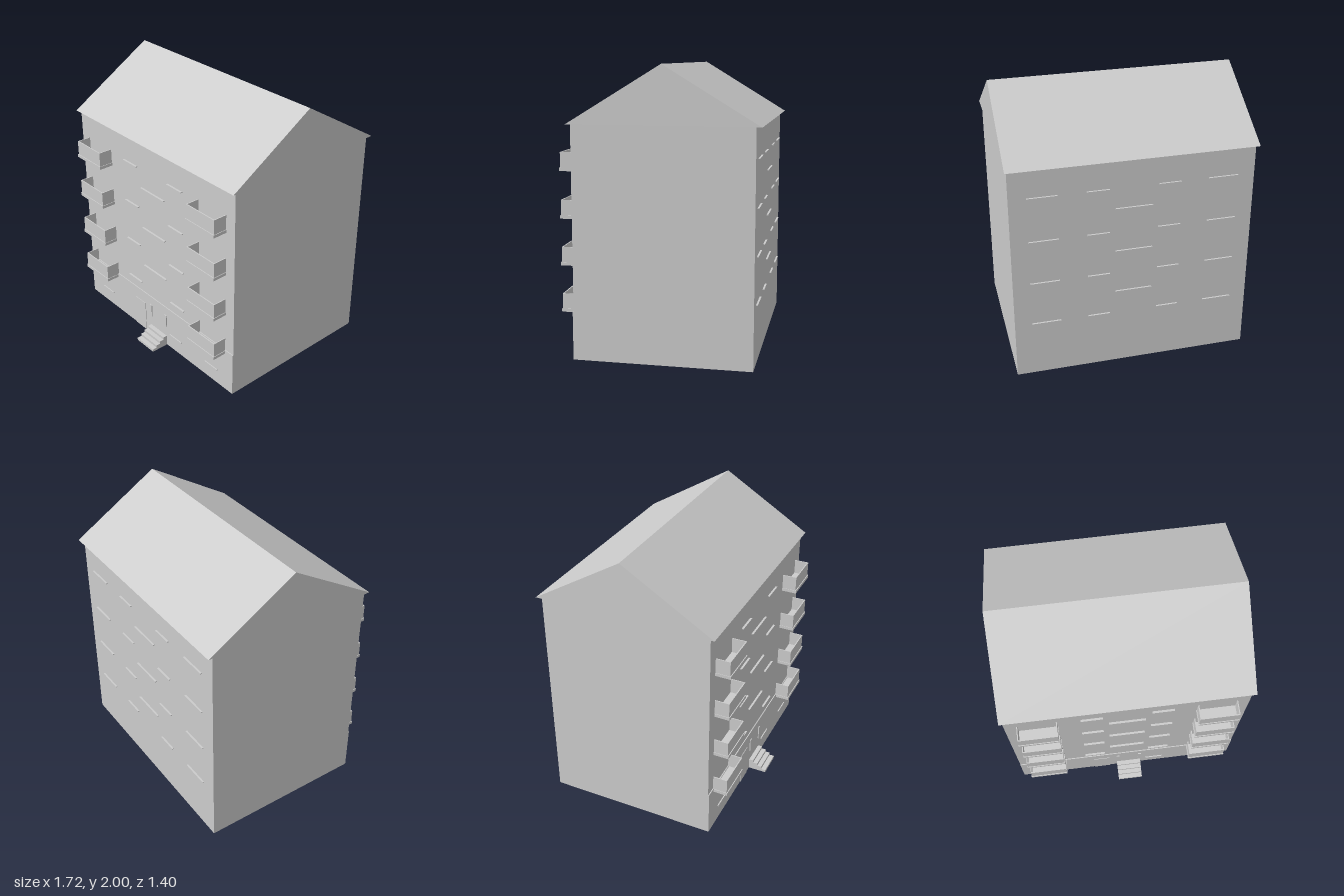
import * as THREE from 'three';

const WALL_FRONT = 0.563, WALL_BACK = -0.662, EAVES = 1.607;

export function createModel() {
  const house = new THREE.Group();
  house.name = 'apartmentHouse';
  const material = new THREE.MeshStandardMaterial({ color: 0xcccccc, flatShading: true });

  // Box given by its limits on each axis
  function box(name, x0, x1, y0, y1, z0, z1, parent = house) {
    const mesh = new THREE.Mesh(new THREE.BoxGeometry(x1 - x0, y1 - y0, z1 - z0), material);
    mesh.position.set((x0 + x1) / 2, (y0 + y1) / 2, (z0 + z1) / 2);
    mesh.name = name;
    parent.add(mesh);
    return mesh;
  }

  // Main block and slightly raised ground-floor facing
  box('walls', -0.845, 0.845, 0, EAVES, WALL_BACK, WALL_FRONT);
  box('plinth', -0.845, 0.845, 0, 0.34, WALL_FRONT - 0.005, 0.57);

  // Gabled roof: triangular section extruded along x
  const gable = new THREE.Shape([
    new THREE.Vector2(-0.595, EAVES),
    new THREE.Vector2(0.7, EAVES),
    new THREE.Vector2(0.0525, 2),
  ]);
  const roofGeometry = new THREE.ExtrudeGeometry(gable, { depth: 1.72, bevelEnabled: false });
  roofGeometry.translate(0, 0, -0.86).rotateY(Math.PI / 2);
  const roof = new THREE.Mesh(roofGeometry, material);
  roof.name = 'roof';
  house.add(roof);

  // Window sills
  const frontSill = (x0, x1, y) => box('frontSill', x0, x1, y - 0.003, y + 0.003, WALL_FRONT - 0.005, 0.578);
  const backSill = (x0, x1, y) => box('backSill', x0, x1, y - 0.003, y + 0.003, -0.675, WALL_BACK + 0.005);
  const floors = [0.42, 0.747, 1.071, 1.396];
  for (const y of floors) {
    for (const sill of [frontSill, backSill]) {
      sill(0.17, 0.325, y);
      sill(-0.325, -0.17, y);
    }
    backSill(0.52, 0.725, y);
    backSill(-0.725, -0.52, y);
  }
  for (const y of [0.595, 0.92, 1.246]) {
    frontSill(-0.13, 0.13, y);
    backSill(-0.13, 0.13, y);
  }
  for (const x of [-0.625, 0.225, 0.622]) frontSill(x - 0.067, x + 0.067, 0.118);

  // Balconies: floor slab with thin parapets, open at the top
  for (const side of [-1, 1]) {
    for (const y of floors) {
      const balcony = new THREE.Group();
      balcony.name = 'balcony';
      balcony.position.set(side * 0.623, y - 0.11, 0);
      house.add(balcony);
      const z0 = WALL_FRONT - 0.003;
      box('balconyFloor', -0.142, 0.142, 0, 0.022, z0, 0.672, balcony);
      box('frontParapet', -0.138, 0.138, 0.022, 0.128, 0.658, 0.666, balcony);
      box('leftParapet', 0.131, 0.138, 0.022, 0.128, z0, 0.66, balcony);
      box('rightParapet', -0.138, -0.131, 0.022, 0.128, z0, 0.66, balcony);
    }
  }

  // Entrance steps
  [0.705, 0.67, 0.637, 0.603].forEach((z, i) => {
    box('entranceStep', -0.075, 0.115, i * 0.02, (i + 1) * 0.02, WALL_FRONT, z);
  });

  // Shallow trim beside the entrance
  box('entrancePanel', -0.26, -0.135, 0, 0.245, WALL_FRONT, 0.574);
  box('doorTrimRight', -0.08, -0.055, 0.165, 0.27, WALL_FRONT, 0.577);
  box('doorTrimLeft', 0.095, 0.12, 0.165, 0.27, WALL_FRONT, 0.577);

  return house;
}
